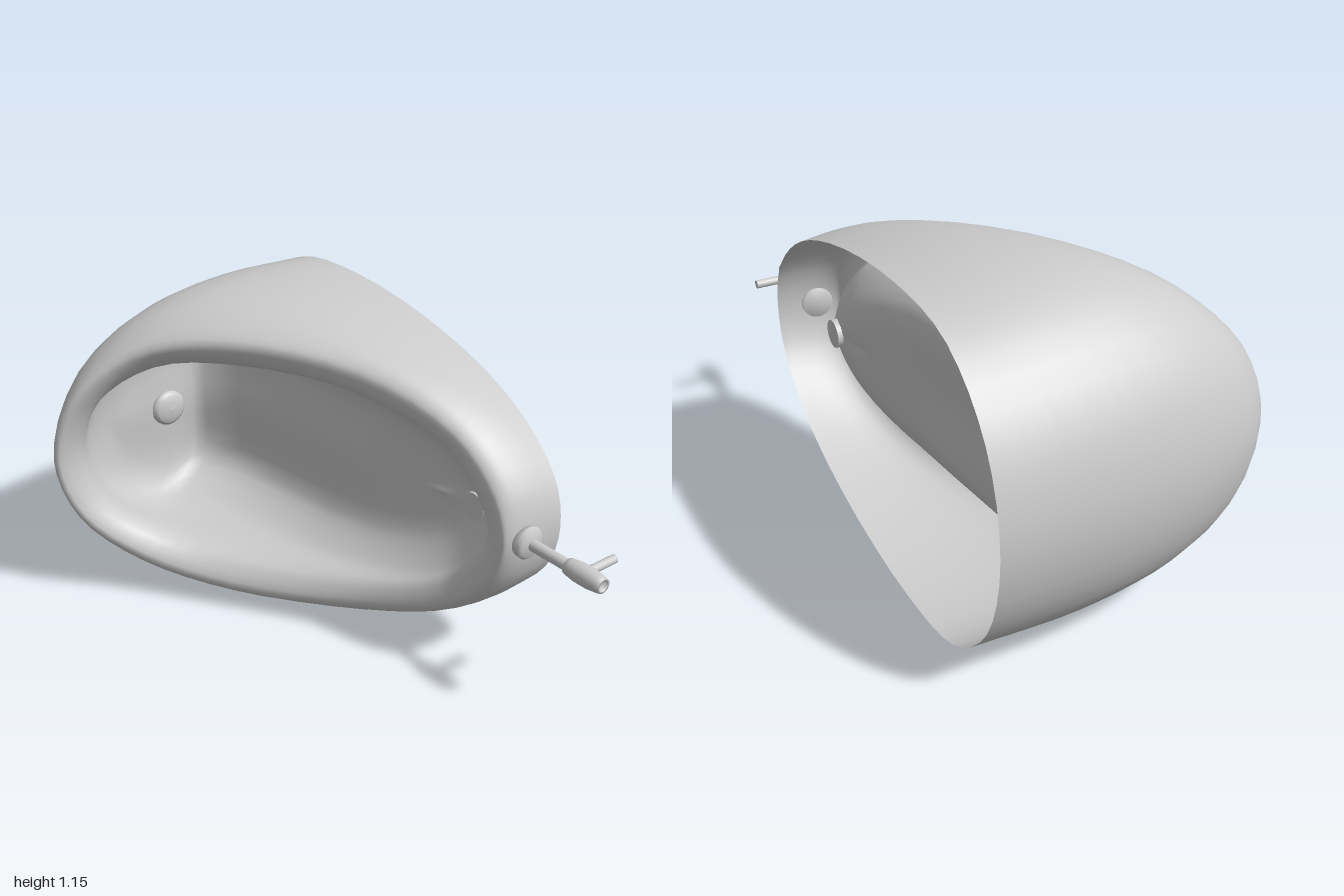
import * as THREE from 'three';
import { mergeVertices } from 'three/addons/utils/BufferGeometryUtils.js';

const MID_Y = 0.575;
const WALL_X = 0.54;
const { lerp } = THREE.MathUtils;
const material = new THREE.MeshStandardMaterial({ color: 0xcccccc, side: THREE.DoubleSide });

// Half sections [x, z, half width], running from the low end (-z) to the pipe end (+z).
const wallEdge = [[-1, 0], [-.92, .31], [-.7, .51], [-.36, .55], [.13, .475], [.45, .345], [.64, .17], [.685, 0]]
  .map(([z, h]) => [WALL_X, z, h]);
const ridge = [[-.54, -.69, 0], [-.48, -.65, .225], [-.31, -.53, .4], [-.1, -.27, .475],
  [.15, .12, .44], [.275, .44, .315], [.31, .6, .15], [.315, .65, 0]];
const innerLip = [[-.44, -.69, 0], [-.38, -.65, .2], [-.22, -.53, .335], [-.04, -.28, .385],
  [.17, .1, .365], [.285, .4, .26], [.315, .53, .12], [.322, .58, 0]];
const basinWall = [[-.36, -.765, 0], [-.3, -.765, .185], [-.14, -.755, .31], [.03, -.73, .345],
  [.24, .03, .34], [.335, .365, .235], [.365, .49, .11], [.375, .53, 0]];
const floorEdge = [[-.25, -.815, 0], [-.21, -.815, .14], [-.06, -.82, .23], [.175, -.815, .25],
  [.33, 0, .23], [.395, .28, .15], [.42, .38, .07], [.425, .42, 0]];
// the basin closes along its centre line, drawn in towards the corner of floor and back wall
const corner = floorEdge[3];
const centreLine = floorEdge.map(([x, z]) => [lerp(x, corner[0], .15), lerp(z, corner[1], .15), 0]);

// The outer shell swells from the wall edge over a wider shoulder to the ridge.
function shellSection(t) {
  return wallEdge.map(([x, z, h], k) => {
    const end = new THREE.Vector3(...ridge[k]);
    const shoulder = new THREE.Vector3(lerp(end.x, x, .1), z, h * 1.13);
    return new THREE.QuadraticBezierCurve3(new THREE.Vector3(x, z, h), shoulder, end).getPoint(t).toArray();
  });
}

// Mirrors a half section into a smooth closed ring of points.
function ring(half, count) {
  const point = (side) => ([x, z, h]) => new THREE.Vector3(x, MID_Y + side * h, z);
  const points = [...half.map(point(1)), ...half.slice(1, -1).reverse().map(point(-1))];
  const curve = new THREE.CatmullRomCurve3(points, true);
  return Array.from({ length: count }, (_, i) => curve.getPoint(i / count));
}

// Smooth surface through all the rings.
function loft(sections, around, steps) {
  const rings = sections.map((s) => ring(s, around));
  const rows = (sections.length - 1) * steps;
  const positions = [], index = [];
  const lines = Array.from({ length: around }, (_, j) => new THREE.CatmullRomCurve3(rings.map((r) => r[j])));
  for (let i = 0; i <= rows; i++) {
    for (let j = 0; j < around; j++) {
      positions.push(...lines[j].getPoint(i / rows).toArray());
      if (i === rows) continue;
      const a = i * around + j, b = i * around + (j + 1) % around;
      index.push(a, a + around, b, b, a + around, b + around);
    }
  }
  const geometry = new THREE.BufferGeometry();
  geometry.setAttribute('position', new THREE.Float32BufferAttribute(positions, 3));
  geometry.setIndex(index);
  const merged = mergeVertices(geometry, 1e-4);
  merged.computeVertexNormals();
  return merged;
}

// Turned part along +z from [radius, z] points.
function turned(name, profile, x = 0.395) {
  const points = profile.map(([r, z]) => new THREE.Vector2(r, z));
  const mesh = new THREE.Mesh(new THREE.LatheGeometry(points, 24), material);
  mesh.name = name;
  mesh.rotation.x = Math.PI / 2;
  mesh.position.set(x, MID_Y, 0);
  return mesh;
}

// Round part along x between two ends.
function crosswise(name, radius, x0, x1, z) {
  const mesh = new THREE.Mesh(new THREE.CylinderGeometry(radius, radius, x1 - x0, 24), material);
  mesh.name = name;
  mesh.rotation.z = Math.PI / 2;
  mesh.position.set((x0 + x1) / 2, MID_Y, z);
  return mesh;
}

export function createModel() {
  const model = new THREE.Group();
  model.name = 'wallBasin';

  // outer shell, rolled rim and inner basin in one surface
  const shell = [0, .25, .5, .75, 1].map(shellSection);
  const bowl = new THREE.Mesh(loft([...shell, innerLip, basinWall, floorEdge, centreLine], 56, 4), material);
  bowl.name = 'bowlShell';
  model.add(bowl);

  // domed drain in the basin floor
  model.add(turned('drain', [[0, -.835], [.06, -.835], [.068, -.82], [.067, -.808], [.057, -.802], [.055, -.797], [.03, -.79], [0, -.787]], 0.01));

  // water inlet through the back wall
  model.add(crosswise('waterInlet', .05, .41, .44, .415));

  // supply pipe with its flange and valve
  model.add(turned('pipeFlange', [[0, .665], [.055, .665], [.057, .69], [.045, .7], [.02, .705]]));
  model.add(turned('supplyPipe', [[.02, .68], [.02, .86]]));
  model.add(turned('valveBody', [[.018, .852], [.027, .855], [.03, .87], [.034, .9], [.034, .95], [.03, .98], [.026, 1], [.018, 1], [.016, .99], [0, .99]]));

  // branch pipe running to the wall
  model.add(crosswise('branchPipe', .015, .4, WALL_X, .915));

  return model;
}
